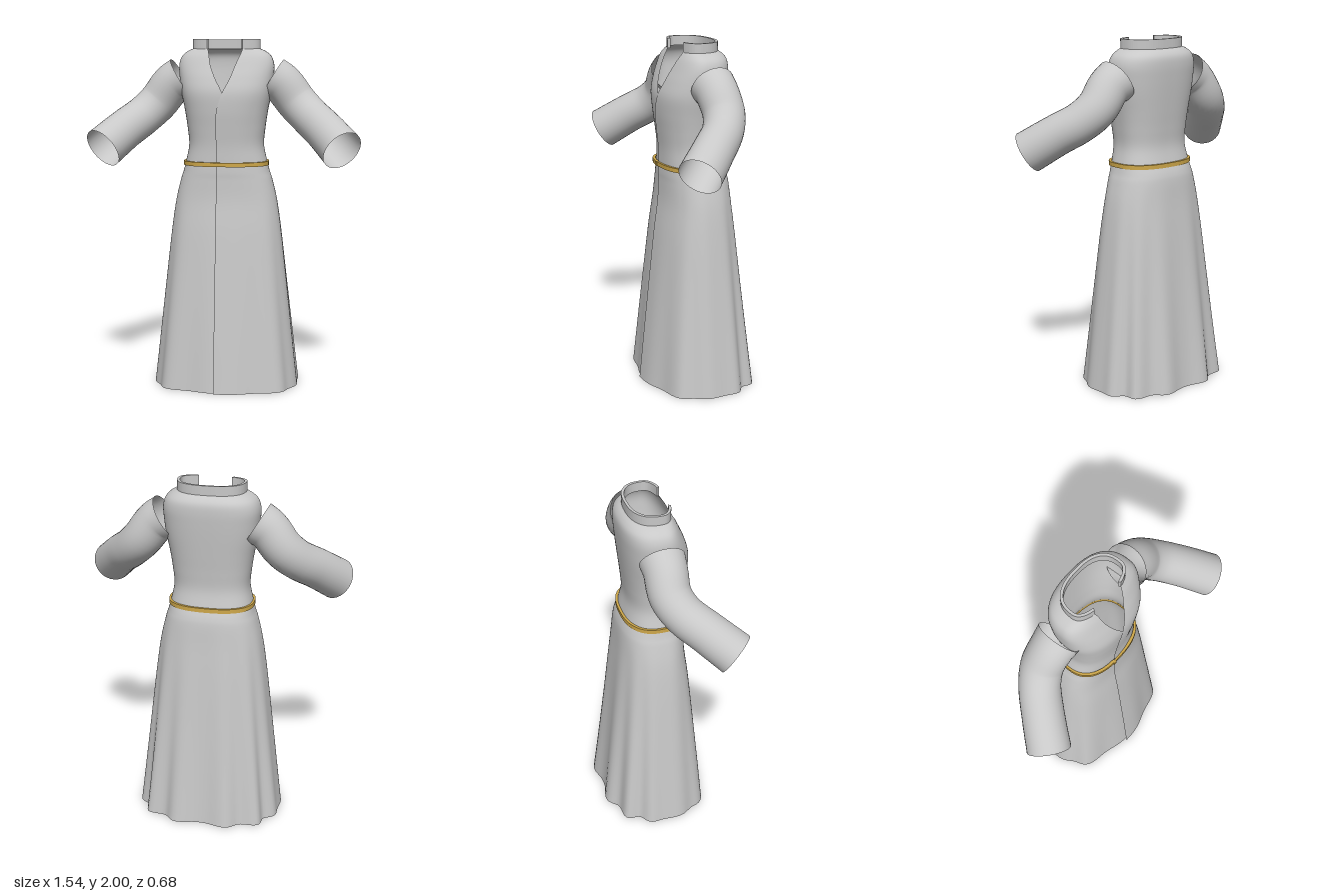
import * as THREE from 'three';
import { mergeVertices } from 'three/addons/utils/BufferGeometryUtils.js';

const V = (x, y, z) => new THREE.Vector3(x, y, z);
const EXP = 0.8; // roundness of the body cross-sections

// Skin a list of rings (each a list of points, counter-clockwise about the loft direction)
function loft(rings) {
  const n = rings[0].length, pos = [], idx = [];
  rings.forEach(r => r.forEach(p => pos.push(p.x, p.y, p.z)));
  for (let i = 0; i < rings.length - 1; i++)
    for (let j = 0; j < n - 1; j++) {
      const a = i * n + j, b = a + 1, c = a + n, d = c + 1;
      idx.push(a, b, d, a, d, c);
    }
  let g = new THREE.BufferGeometry();
  g.setAttribute('position', new THREE.Float32BufferAttribute(pos, 3));
  g.setIndex(idx);
  g = mergeVertices(g, 1e-5);
  g.computeVertexNormals();
  return g;
}

// Rounded section: half width a, front depth f, back depth b, angle t from the front
function section(a, f, b, t) {
  const pw = v => Math.sign(v) * Math.abs(v) ** EXP;
  const c = Math.cos(t);
  return [a * pw(Math.sin(t)), (c > 0 ? f : b) * pw(c)];
}

// Wrapped cloth shell. Rows: [y, half width, front, back, left edge x, right edge x, overlap step]
function wrap(rows, steps, wave) {
  const curve = k => new THREE.CatmullRomCurve3(rows.map(r => V(...k.map(i => r[i]))), false, 'catmullrom');
  const size = curve([1, 0, 2]), edge = curve([3, 4, 5]), lap = curve([6, 0, 0]);
  const rings = [], SEG = 112;
  for (let i = 0; i <= steps; i++) {
    const u = i / steps;
    const { x: a, y, z: f } = size.getPoint(u);
    const { x: b, y: xl, z: xr } = edge.getPoint(u);
    const step = Math.max(0, lap.getPoint(u).x);
    const ang = x => Math.asin(Math.sign(x) * Math.abs(x / a) ** (1 / EXP));
    const t0 = ang(xl), t1 = 2 * Math.PI + ang(xr), ring = [];
    for (let j = 0; j <= SEG; j++) {
      const s = j / SEG, t = t0 + (t1 - t0) * s;
      const k = 1 + (wave ? wave(t, y) : 0);
      const [x, z] = section(a, f, b, t);
      ring.push(V(x * k, y, z * k + step * Math.max(0, 1 - s / 0.12)));
    }
    rings.push(ring);
  }
  return loft(rings);
}

// Sleeve: rings along a bent arm path, s = +1 left, -1 right
function sleeve(s) {
  const path = new THREE.CatmullRomCurve3([
    V(0.262, 1.78, -0.02), V(0.32, 1.745, -0.02), V(0.4, 1.645, -0.02),
    V(0.475, 1.57, 0.025), V(0.57, 1.49, 0.13), V(0.67, 1.393, 0.255),
  ].map(p => p.setX(p.x * s)));
  const radius = [0.125, 0.118, 0.115, 0.112, 0.114, 0.119];
  const rings = [], N = 24;
  for (let i = 0; i <= N; i++) {
    const u = i / N, c = path.getPoint(u), t = path.getTangent(u);
    const k = Math.min(4, Math.floor(u * 5));
    const r = THREE.MathUtils.lerp(radius[k], radius[k + 1], u * 5 - k);
    const n1 = V(s, 1, 0).addScaledVector(t, -V(s, 1, 0).dot(t)).normalize();
    const n2 = t.clone().cross(n1);
    const ring = [];
    for (let j = 0; j <= 32; j++) {
      const w = (j % 32) / 32 * Math.PI * 2;
      ring.push(c.clone().addScaledVector(n1, r * Math.cos(w)).addScaledVector(n2, r * Math.sin(w)));
    }
    rings.push(ring);
  }
  return loft(rings);
}

// Flat band following a section between two angles, extruded upward from y
function band(outer, inner, t0, t1, y, h) {
  const arc = d => Array.from({ length: 65 }, (_, j) => {
    const [x, z] = section(...d, t0 + (t1 - t0) * j / 64);
    return new THREE.Vector2(x, -z);
  });
  const shape = new THREE.Shape([...arc(outer), ...arc(inner).reverse()]);
  const g = new THREE.ExtrudeGeometry(shape, { depth: h, bevelEnabled: false });
  return g.rotateX(-Math.PI / 2).translate(0, y, 0);
}

export function createModel() {
  const cloth = new THREE.MeshStandardMaterial({ color: 0xc8c8c8, side: THREE.DoubleSide });
  cloth.name = 'grey cloth';
  const gold = new THREE.MeshStandardMaterial({ color: 0xcfa84a });
  gold.name = 'gold';
  const group = new THREE.Group();
  group.name = 'robe';
  const add = (name, geo, mat) => {
    const m = new THREE.Mesh(geo, mat);
    m.name = name;
    group.add(m);
    return m;
  };

  // Skirt with folds that deepen toward the hem
  const folds = (t, y) => {
    const c = Math.cos(t), deep = Math.max(0, 1 - y / 1.2);
    const w = c > 0 ? 0.035 * Math.cos(8 * t) : -0.05 * Math.cos(12 * t);
    return w * deep * Math.min(1, Math.abs(c) * 2);
  };
  add('skirt', wrap([
    [0, 0.418, 0.28, 0.325, -0.04, 0.02, 0.014],
    [0.3, 0.385, 0.252, 0.293, -0.04, 0.02, 0.013],
    [0.6, 0.352, 0.222, 0.262, -0.04, 0.02, 0.012],
    [0.9, 0.318, 0.19, 0.232, -0.04, 0.02, 0.012],
    [1.08, 0.292, 0.166, 0.213, -0.04, 0.02, 0.012],
    [1.2, 0.264, 0.16, 0.202, -0.04, 0.02, 0.012],
    [1.25, 0.248, 0.16, 0.192, -0.04, 0.02, 0.012],
    [1.3, 0.235, 0.158, 0.172, -0.04, 0.02, 0.012],
  ], 42, folds), cloth);

  // Bodice with crossed front and open V neck
  add('bodice', wrap([
    [1.3, 0.235, 0.158, 0.172, -0.04, 0.02, 0.012],
    [1.4, 0.215, 0.16, 0.152, -0.04, 0.02, 0.012],
    [1.5, 0.223, 0.17, 0.157, -0.04, 0.02, 0.012],
    [1.6, 0.238, 0.182, 0.167, -0.036, 0.015, 0.009],
    [1.7, 0.258, 0.186, 0.177, -0.004, -0.004, 0.003],
    [1.78, 0.268, 0.165, 0.184, 0.036, -0.045, 0],
    [1.85, 0.272, 0.135, 0.188, 0.062, -0.075, 0],
    [1.9, 0.258, 0.112, 0.184, 0.083, -0.086, 0],
    [1.93, 0.228, 0.095, 0.166, 0.095, -0.092, 0],
    [1.95, 0.186, 0.085, 0.138, 0.1, -0.1, 0],
  ], 48), cloth);

  // Stand-up collar, open at the front
  add('collar', band([0.193, 0.088, 0.143], [0.178, 0.073, 0.128], 0.46, 2 * Math.PI - 0.46, 1.945, 0.055), cloth);

  // Sleeves
  add('leftSleeve', sleeve(1), cloth);
  add('rightSleeve', sleeve(-1), cloth);

  // Cord belt with its small clasp
  add('belt', band([0.245, 0.18, 0.184], [0.232, 0.164, 0.17], 0, 2 * Math.PI, 1.286, 0.024), gold);
  add('beltClasp', new THREE.BoxGeometry(0.018, 0.024, 0.012).translate(-0.045, 1.298, 0.178), gold);
  return group;
}
